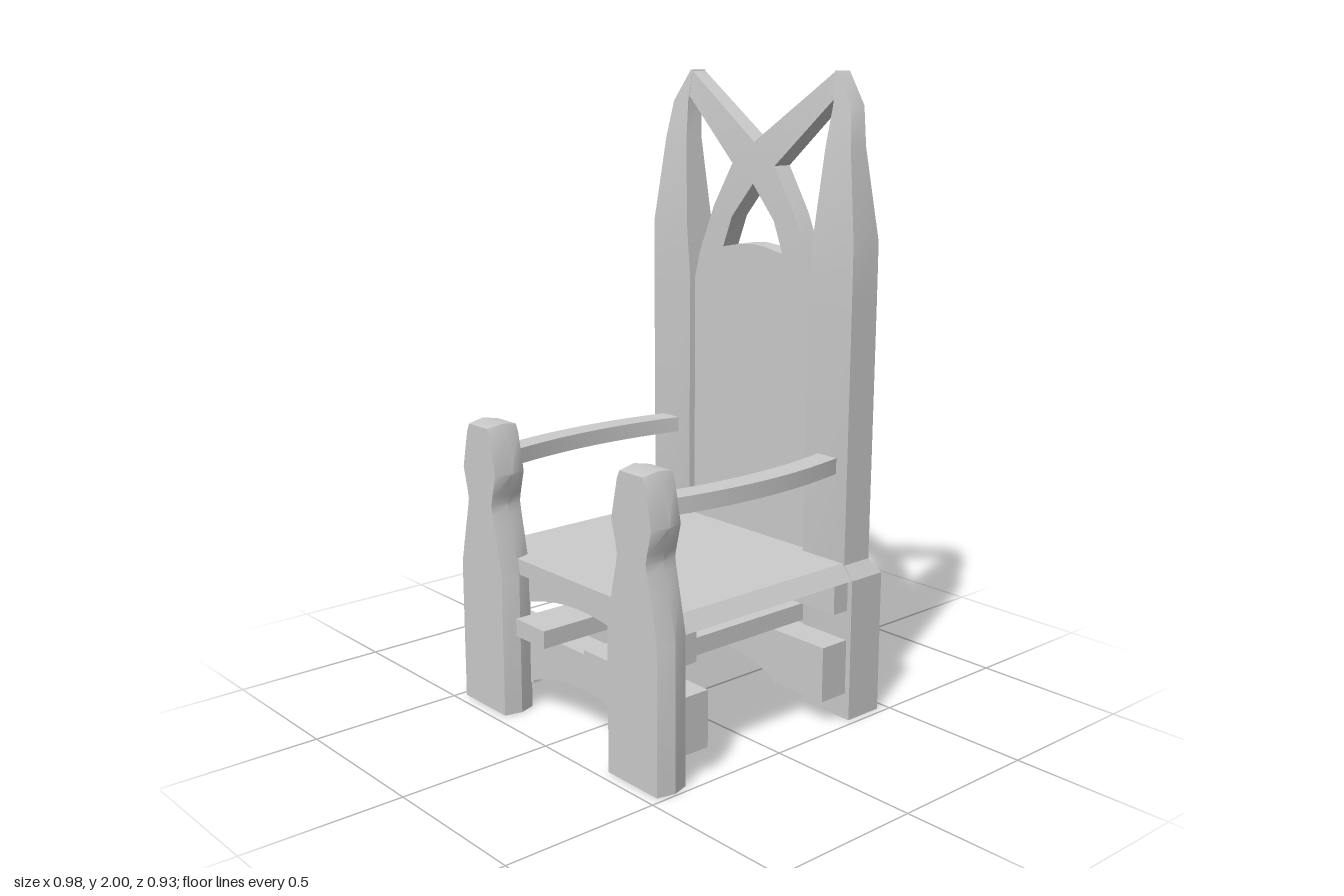
import * as THREE from 'three';
import { toCreasedNormals } from 'three/addons/utils/BufferGeometryUtils.js';

const material = new THREE.MeshStandardMaterial({ color: 0xcccccc });

function add(group, name, geometry) {
  const mesh = new THREE.Mesh(toCreasedNormals(geometry, 0.5), material);
  mesh.name = name;
  group.add(mesh);
  return mesh;
}

// Skins a stack of rings (each counter-clockwise seen from above) and caps both ends
function loft(rings) {
  const n = rings[0].length, index = [];
  const top = (rings.length - 1) * n;
  for (let i = 0; i < rings.length - 1; i++) {
    for (let j = 0; j < n; j++) {
      const a = i * n + j, b = i * n + (j + 1) % n;
      index.push(a, b, b + n, a, b + n, a + n);
    }
  }
  for (let j = 1; j < n - 1; j++) {
    index.push(0, j + 1, j, top, top + j, top + j + 1);
  }
  const geometry = new THREE.BufferGeometry();
  geometry.setAttribute('position', new THREE.Float32BufferAttribute(rings.flat(2), 3));
  geometry.setIndex(index);
  geometry.computeVertexNormals();
  return geometry;
}

function box(x0, x1, y0, y1, z0, z1) {
  return new THREE.BoxGeometry(x1 - x0, y1 - y0, z1 - z0)
    .translate((x0 + x1) / 2, (y0 + y1) / 2, (z0 + z1) / 2);
}

const points = list => list.map(([x, y]) => new THREE.Vector2(x, y));

// Extrudes an outline in the xy plane from z0 to z1
function slab(shape, z0, z1) {
  return new THREE.ExtrudeGeometry(shape, { depth: z1 - z0, bevelEnabled: false, curveSegments: 12 })
    .translate(0, 0, z0);
}

// Cross rail whose underside rises in an arch between the legs
function archedRail(y0, yArchEnd, yArch, y1, z0, z1) {
  const shape = new THREE.Shape();
  shape.moveTo(-0.46, y0);
  shape.lineTo(-0.25, y0);
  shape.lineTo(-0.25, yArchEnd);
  shape.quadraticCurveTo(0, 2 * yArch - yArchEnd, 0.25, yArchEnd);
  shape.lineTo(0.25, y0);
  shape.lineTo(0.46, y0);
  shape.lineTo(0.46, y1);
  shape.lineTo(-0.46, y1);
  shape.closePath();
  return slab(shape, z0, z1);
}

// Front leg: waisted profile with a ridge down each side and a crowned top
function frontLeg(side) {
  const levels = [[0, 0.122], [0.46, 0.122], [0.59, 0.091], [0.65, 0.076], [0.68, 0.07],
    [0.71, 0.077], [0.78, 0.097], [0.9, 0.068], [0.925, 0.055]];
  const c = side * 0.37;
  return loft(levels.map(([y, w], i) => {
    const f = w * 0.89, b = w * 0.86, ridge = i === levels.length - 1 ? y + 0.01 : y;
    return [[c + w, ridge, 0.408], [c + b, y, 0.355], [c - b, y, 0.355],
      [c - w, ridge, 0.408], [c - f, y, 0.465], [c + f, y, 0.465]];
  }));
}

// Rear leg: square block below, tapering post above; rows are y, inner x, outer x, back z, front z
function rearLeg(side) {
  const levels = [
    [0, 0.272, 0.478, -0.465, -0.33],
    [0.46, 0.272, 0.478, -0.465, -0.33],
    [0.505, 0.27, 0.448, -0.436, -0.325],
    [1.33, 0.27, 0.452, -0.436, -0.325],
    [1.5, 0.286, 0.452, -0.436, -0.325],
    [1.78, 0.312, 0.413, -0.412, -0.345],
    [1.9, 0.323, 0.393, -0.422, -0.362],
    [2.0, 0.315, 0.325, -0.43, -0.375],
  ];
  return loft(levels.map(([y, xi, xo, zb, zf]) => {
    const l = Math.min(side * xi, side * xo), r = Math.max(side * xi, side * xo);
    return [[r, y, zf], [r, y, zb], [l, y, zb], [l, y, zf]];
  }));
}

// Back: tall panel continuing into two crossing braces
function backPanel() {
  const shape = new THREE.Shape(points([
    [-0.29, 0.46], [0.29, 0.46], [0.29, 1.33], [0.27, 1.33], [0.245, 1.42], [0.18, 1.57], [0.095, 1.71],
    [0.325, 1.92], [0.33, 1.99], [0.32, 2], [0, 1.78], [-0.32, 2], [-0.33, 1.99], [-0.325, 1.92],
    [-0.095, 1.71], [-0.18, 1.57], [-0.245, 1.42], [-0.27, 1.33], [-0.29, 1.33],
  ]));
  shape.holes.push(new THREE.Path(points([
    [0, 1.65], [-0.095, 1.54], [-0.135, 1.44], [-0.06, 1.455], [0, 1.46],
    [0.06, 1.455], [0.135, 1.44], [0.095, 1.54],
  ])));
  const geometry = slab(shape, -0.415, -0.348);
  const p = geometry.attributes.position;
  // The brace tips lean backward and thin out
  for (let i = 0; i < p.count; i++) {
    const t = THREE.MathUtils.clamp((p.getY(i) - 1.75) / 0.25, 0, 1);
    const front = p.getZ(i) > -0.38;
    p.setZ(i, p.getZ(i) - t * (front ? 0.027 : 0.015));
  }
  return geometry;
}

// Arm: bar bowed outward in plan
function arm(side) {
  const inner = [], outer = [], n = 12;
  for (let i = 0; i <= n; i++) {
    const t = i / n, z = THREE.MathUtils.lerp(0.4, -0.37, t);
    const x = side * (0.355 + 0.048 * 4 * t * (1 - t));
    inner.push([x - 0.039, -z]);
    outer.unshift([x + 0.039, -z]);
  }
  return new THREE.ExtrudeGeometry(new THREE.Shape(points([...inner, ...outer])),
    { depth: 0.05, bevelEnabled: false }).rotateX(-Math.PI / 2).translate(0, 0.79, 0);
}

export function createModel() {
  const chair = new THREE.Group();
  chair.name = 'chair';

  // Seat with sloping side edges and a lip between the front legs
  const seat = new THREE.Shape(points([[-0.475, 0.46], [0.475, 0.46], [0.44, 0.51], [-0.44, 0.51]]));
  add(chair, 'seat', slab(seat, -0.36, 0.357));
  add(chair, 'seatLip', box(-0.3, 0.3, 0.46, 0.51, 0.357, 0.405));
  add(chair, 'backPanel', backPanel());

  // Aprons under the seat and low stretchers
  add(chair, 'frontApron', archedRail(0.36, 0.36, 0.4, 0.46, 0.3, 0.36));
  add(chair, 'rearApron', archedRail(0.36, 0.36, 0.4, 0.46, -0.335, -0.27));
  add(chair, 'frontStretcher', archedRail(0.085, 0.095, 0.147, 0.263, 0.255, 0.36));
  add(chair, 'rearStretcher', archedRail(0.085, 0.095, 0.147, 0.263, -0.335, -0.225));

  for (const side of [1, -1]) {
    const label = side > 0 ? 'left' : 'right';
    add(chair, label + 'FrontLeg', frontLeg(side));
    add(chair, label + 'RearLeg', rearLeg(side));
    add(chair, label + 'Arm', arm(side));
    const x = side * 0.173;
    add(chair, label + 'LongBar', box(x - 0.073, x + 0.073, 0.263, 0.32, -0.395, 0.425));
  }
  return chair;
}
